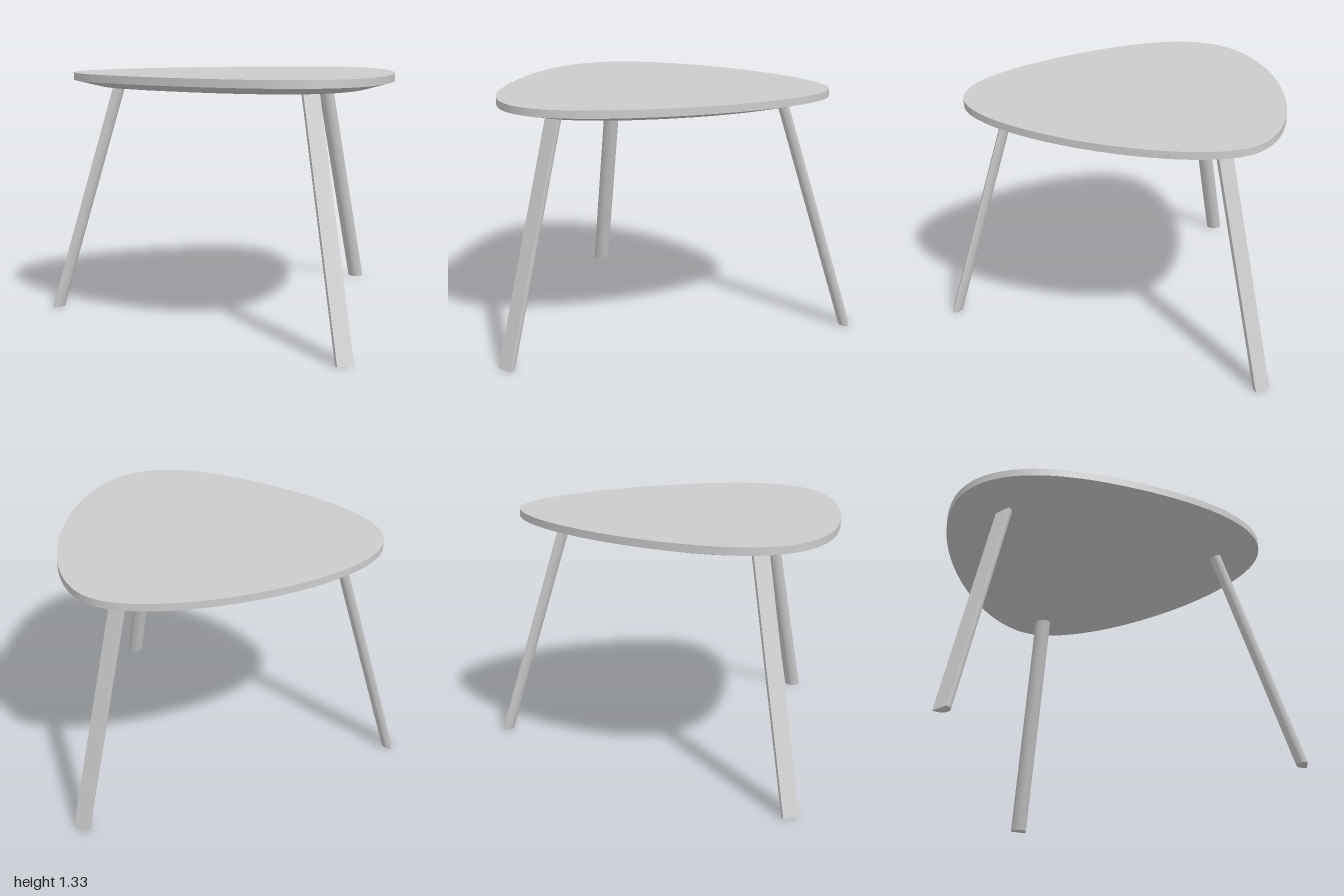
import * as THREE from 'three';
import { toCreasedNormals } from 'three/addons/utils/BufferGeometryUtils.js';

const TOP_Y = 1.325, EDGE_Y = 1.285, UNDER_Y = 1.251;

// Rounded-triangle outline in (x, z): back tip, right round to the front, then mirrored.
function outline() {
  const v = (x, z) => new THREE.Vector2(x, z);
  const path = new THREE.CurvePath();
  path.add(new THREE.CubicBezierCurve(v(0, -0.8), v(0.36, -0.8), v(0.885, -0.05), v(0.885, 0.44)));
  path.add(new THREE.CubicBezierCurve(v(0.885, 0.44), v(0.885, 0.8), v(0.54, 0.945), v(0, 0.945)));
  const half = path.getSpacedPoints(64);
  const mirrored = half.slice(1, -1).reverse().map((p) => v(-p.x, p.y));
  return [...half, ...mirrored];
}

// Loft through scaled copies of the outline; scale 0 closes the top and the underside.
function tabletopGeometry() {
  const pts = outline();
  const n = pts.length;
  const rings = [[0, UNDER_Y], [0.84, UNDER_Y], [1, EDGE_Y], [1, TOP_Y], [0, TOP_Y]];
  const positions = [];
  for (const [s, y] of rings) {
    for (const p of pts) positions.push(p.x * s, y, p.y * s + 0.21 * (1 - s));
  }
  const index = [];
  for (let r = 0; r < rings.length - 1; r++) {
    for (let i = 0; i < n; i++) {
      const j = (i + 1) % n;
      const a0 = r * n + i, a1 = r * n + j, b0 = a0 + n, b1 = a1 + n;
      if (rings[r][0] > 0) index.push(a1, a0, b0);
      if (rings[r + 1][0] > 0) index.push(a1, b0, b1);
    }
  }
  const geo = new THREE.BufferGeometry();
  geo.setAttribute('position', new THREE.Float32BufferAttribute(positions, 3));
  geo.setIndex(index);
  return toCreasedNormals(geo, 0.2);
}

// D-shaped leg: flat outer face towards +z, rounded inner face, sheared inwards as it rises.
function legGeometry() {
  const w = 0.045, straight = 0.01, height = 1.26;
  const foot = 1.122, lean = 0.3;
  const shape = new THREE.Shape();
  shape.moveTo(-w, 0);
  shape.lineTo(w, 0);
  shape.lineTo(w, straight);
  shape.absellipse(0, straight, w, 0.045, 0, Math.PI, false, 0);
  shape.closePath();
  const geo = new THREE.ExtrudeGeometry(shape, { depth: height, bevelEnabled: false, curveSegments: 12 });
  geo.rotateX(-Math.PI / 2); // shape +y becomes -z, depth becomes height
  const pos = geo.attributes.position;
  for (let i = 0; i < pos.count; i++) {
    pos.setZ(i, pos.getZ(i) + foot - lean * pos.getY(i));
  }
  return toCreasedNormals(geo, 0.5);
}

export function createModel() {
  const model = new THREE.Group();
  model.name = 'sideTable';
  const material = new THREE.MeshStandardMaterial({ color: 0xcccccc });

  const top = new THREE.Mesh(tabletopGeometry(), material);
  top.name = 'tabletop';
  model.add(top);

  // Three legs spread evenly about a point just in front of the centre
  const leg = legGeometry();
  const angles = { backLeg: Math.PI, leftLeg: Math.PI / 3, rightLeg: -Math.PI / 3 };
  for (const [name, angle] of Object.entries(angles)) {
    const mesh = new THREE.Mesh(leg, material);
    mesh.name = name;
    mesh.rotation.y = angle;
    mesh.position.z = 0.171;
    model.add(mesh);
  }
  return model;
}
